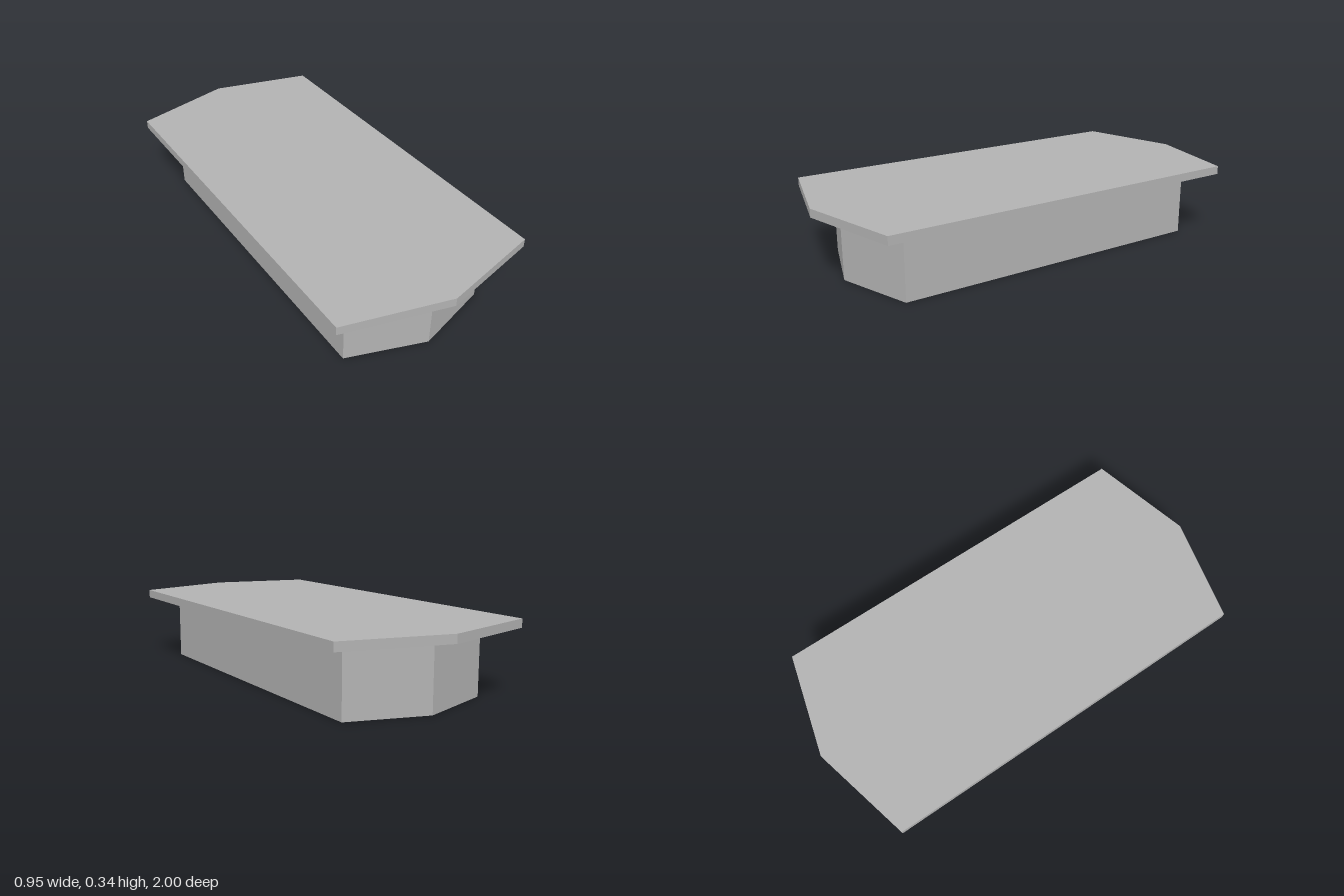
import * as THREE from 'three';

// Vertical prism with an elongated hexagonal plan, pointed at both z ends
function hexPrism(name, halfWidth, shoulder, tip, y0, y1, material) {
  const shape = new THREE.Shape([
    [halfWidth, -shoulder], [halfWidth, shoulder], [0, tip],
    [-halfWidth, shoulder], [-halfWidth, -shoulder], [0, -tip],
  ].map(([x, z]) => new THREE.Vector2(x, z)));
  const geometry = new THREE.ExtrudeGeometry(shape, { depth: y1 - y0, bevelEnabled: false });
  geometry.rotateX(-Math.PI / 2).translate(0, y0, 0);
  const mesh = new THREE.Mesh(geometry, material);
  mesh.name = name;
  return mesh;
}

export function createModel() {
  const grey = new THREE.MeshStandardMaterial({ color: 0xb3b3b3 });
  grey.name = 'grey';

  const model = new THREE.Group();
  model.name = 'counter';
  // Solid base, and the slab that overhangs it on all sides
  model.add(
    hexPrism('base', 0.355, 0.76, 0.875, 0, 0.306, grey),
    hexPrism('topSlab', 0.475, 0.88, 1, 0.306, 0.345, grey),
  );
  return model;
}
